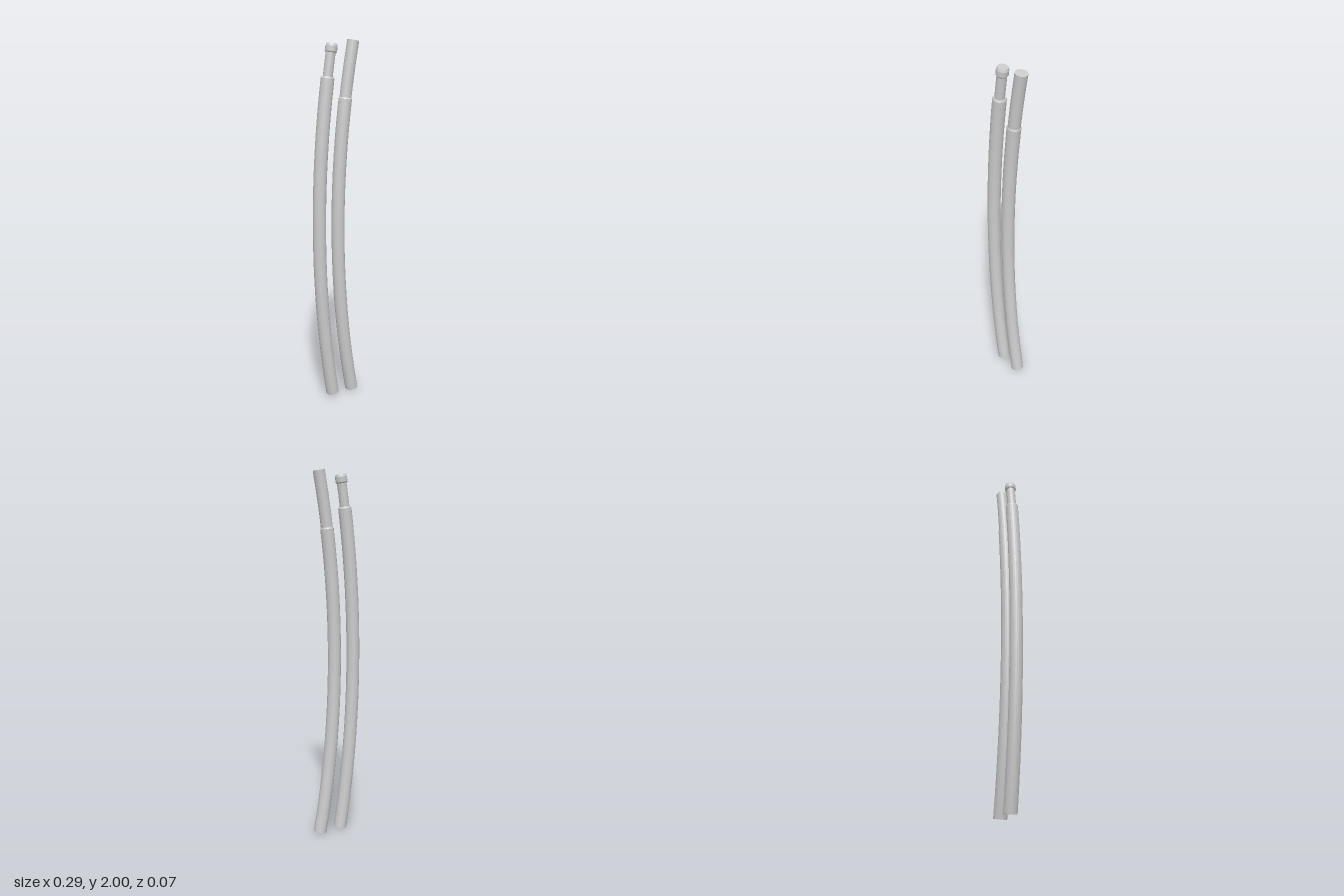
import * as THREE from 'three';

const SIDES = 24;

// Turn a [radius, height] profile, then bend it along an arc bowing toward -x
function bentPart(name, profile, midX, R) {
  const pts = [];
  profile.forEach(([r, y], i) => {
    if (i > 0) {
      // subdivide long stretches so they follow the curve
      const [r0, y0] = profile[i - 1];
      const n = Math.max(1, Math.round(Math.abs(y - y0) / 0.06));
      for (let k = 1; k < n; k++) {
        pts.push(new THREE.Vector2(r0 + (r - r0) * k / n, y0 + (y - y0) * k / n));
      }
    }
    pts.push(new THREE.Vector2(r, y));
  });
  const geo = new THREE.LatheGeometry(pts, SIDES);
  const p = geo.attributes.position;
  for (let i = 0; i < p.count; i++) {
    const a = Math.asin((p.getY(i) - 1) / R);
    const d = R - p.getX(i);
    p.setXY(i, midX + R - d * Math.cos(a), 1 + d * Math.sin(a));
  }
  geo.computeVertexNormals();
  const mesh = new THREE.Mesh(geo, new THREE.MeshStandardMaterial({
    color: 0xcccccc, flatShading: true, side: THREE.DoubleSide,
  }));
  mesh.name = name;
  return mesh;
}

// Long tube with a thin rim at the bottom and a small chamfer at the top
const tubeProfile = (bottom, top) => [
  [0, bottom + 0.01], [0.032, bottom + 0.01], [0.032, bottom], [0.036, bottom],
  [0.036, top - 0.008], [0.032, top], [0, top],
];

export function createModel() {
  const model = new THREE.Group();
  model.name = 'curvedTubes';

  // Tube with a narrow neck and a capped tip
  const capped = new THREE.Group();
  capped.name = 'neckedRod';
  capped.add(
    bentPart('neckedTube', tubeProfile(0.011, 1.81), -0.109, 5.9),
    bentPart('neck', [[0.026, 1.8], [0.026, 1.94]], -0.109, 5.9),
    bentPart('tipCap', [[0, 1.932], [0.028, 1.932], [0.032, 1.938],
      [0.032, 1.965], [0.027, 1.978], [0, 1.978]], -0.109, 5.9),
  );

  // Sheath with a plain handle continuing its curve
  const sheathed = new THREE.Group();
  sheathed.name = 'sheathedRod';
  sheathed.add(
    bentPart('sheath', tubeProfile(0.007, 1.7), 0.011, 5.27),
    bentPart('handle', [[0.032, 1.69], [0.032, 1.994], [0, 1.994]], 0.011, 5.27),
  );

  model.add(capped, sheathed);
  return model;
}
